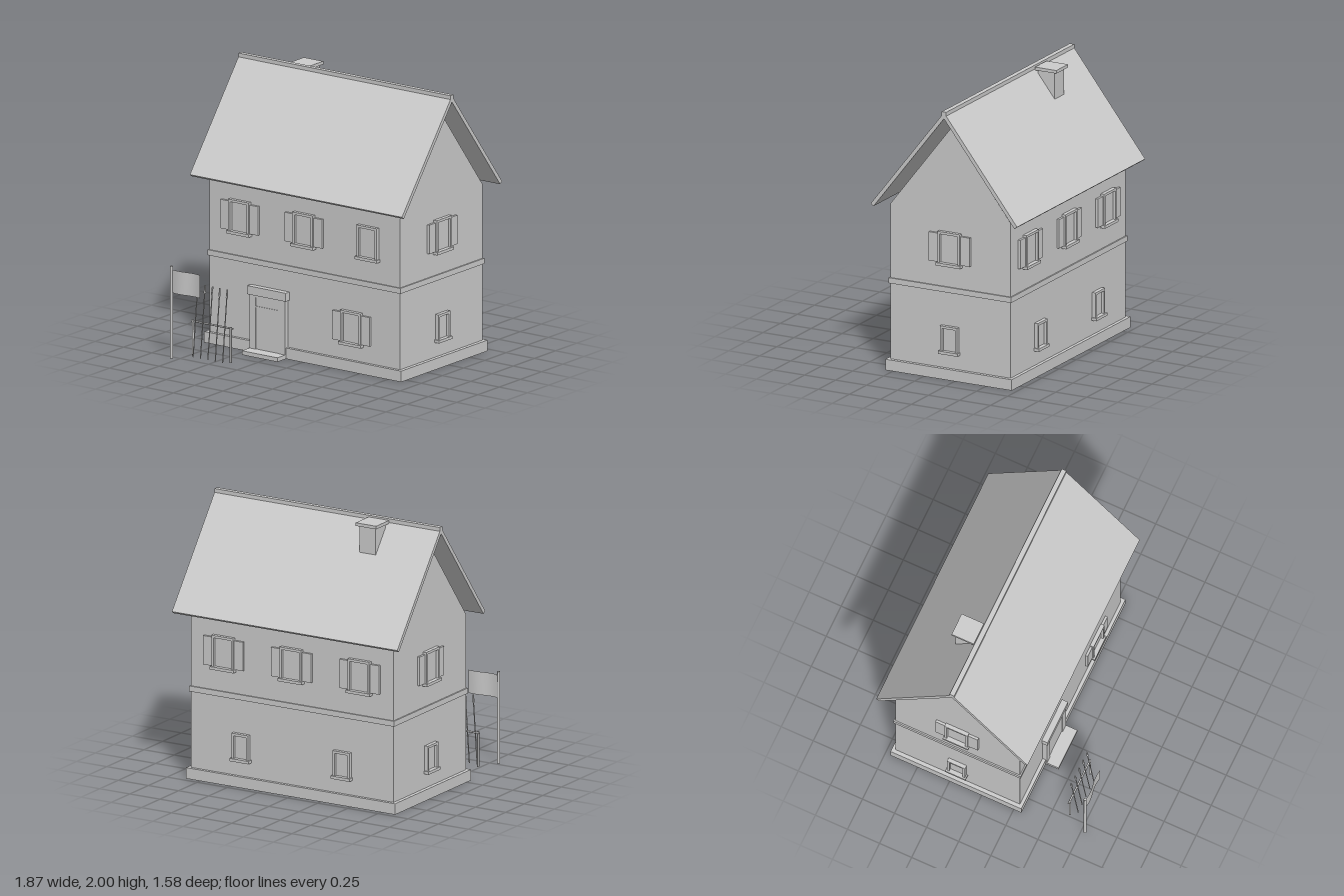
import * as THREE from 'three';

const grey = new THREE.MeshStandardMaterial({ color: 0xcccccc });
grey.name = 'plain grey';
const greyThin = grey.clone();
greyThin.side = THREE.DoubleSide;

const C = -0.2;      // house centre in z
const HX = 0.84;     // wall half length
const HZ = 0.485;    // wall half depth

function add(parent, name, geo, x = 0, y = 0, z = 0, mat = grey) {
  const m = new THREE.Mesh(geo, mat);
  m.name = name;
  m.position.set(x, y, z);
  parent.add(m);
  return m;
}

// box given by its lower and upper limits
function box(parent, name, x0, x1, y0, y1, z0, z1) {
  return add(parent, name, new THREE.BoxGeometry(x1 - x0, y1 - y0, z1 - z0),
    (x0 + x1) / 2, (y0 + y1) / 2, (z0 + z1) / 2);
}

// profile symmetric in z, extruded along x and centred on the house
function alongX(parent, name, pts, x0, x1) {
  const shape = new THREE.Shape(pts.map(p => new THREE.Vector2(p[0], p[1])));
  const g = new THREE.ExtrudeGeometry(shape, { depth: x1 - x0, bevelEnabled: false });
  g.rotateY(Math.PI / 2);
  return add(parent, name, g, x0, 0, C);
}

// window facing +z with its back on z = 0 and its foot on y = 0
function makeWindow(w, h, shutters) {
  const g = new THREE.Group();
  g.name = shutters ? 'shutteredWindow' : 'window';
  const b = 0.018, a = w / 2, d = 0.028;
  box(g, 'windowPane', -a + b, a - b, 0.02, h - b, -0.01, 0.008);
  for (const s of [-1, 1]) {
    const x = s * (a - b / 2);
    box(g, 'windowJamb', x - b / 2, x + b / 2, 0.02, h - b, -0.01, d);
    if (shutters) {
      const sx = s * (a + 0.038);
      box(g, 'shutter', sx - 0.037, sx + 0.037, 0.021, h - 0.017, -0.005, 0.018);
    }
  }
  box(g, 'windowHead', -a, a, h - b, h, -0.01, d);
  box(g, 'windowSill', -a - 0.009, a + 0.009, 0, 0.021, -0.01, 0.04);
  return g;
}

// u runs along the wall in world x or z
function placeWindow(house, side, u, y, large, shutters) {
  const win = large ? makeWindow(0.18, 0.25, shutters) : makeWindow(0.14, 0.205, false);
  if (side === 'front') win.position.set(u, y, C + HZ);
  if (side === 'back') { win.position.set(u, y, C - HZ); win.rotation.y = Math.PI; }
  if (side === 'left') { win.position.set(HX, y, u); win.rotation.y = Math.PI / 2; }
  if (side === 'right') { win.position.set(-HX, y, u); win.rotation.y = -Math.PI / 2; }
  house.add(win);
}

function makeDoor() {
  const g = new THREE.Group();
  g.name = 'door';
  const x = -0.305, z = C + HZ;
  box(g, 'doorLeaf', x - 0.11, x + 0.11, 0.03, 0.425, z - 0.01, 0.313);
  box(g, 'doorRail', x - 0.105, x + 0.105, 0.335, 0.345, 0.31, 0.317);
  for (const s of [-1, 1]) {
    const px = x + s * 0.13;
    box(g, 'doorPost', px - 0.026, px + 0.026, 0.03, 0.425, z - 0.01, 0.32);
  }
  box(g, 'doorHead', x - 0.104, x + 0.104, 0.41, 0.425, z - 0.01, 0.32);
  box(g, 'doorCanopy', x - 0.17, x + 0.17, 0.425, 0.487, z - 0.01, 0.33);
  box(g, 'doorStep', x - 0.157, x + 0.157, 0, 0.03, 0.3, 0.41);
  return g;
}

// leaning spears on a rail between two posts
function makeSpearRack() {
  const g = new THREE.Group();
  g.name = 'spearRack';
  const z = 0.625;
  for (const x of [-0.732, -0.398]) {
    add(g, 'rackPost', new THREE.CylinderGeometry(0.008, 0.008, 0.26, 8), x, 0.13, z);
  }
  const rail = new THREE.CylinderGeometry(0.007, 0.007, 0.365, 8).rotateZ(Math.PI / 2);
  add(g, 'rackRail', rail, -0.565, 0.25, z - 0.004);
  for (let i = 0; i < 5; i++) {
    const spear = new THREE.Group();
    spear.name = 'spear';
    add(spear, 'spearShaft', new THREE.CylinderGeometry(0.004, 0.004, 0.48, 6), 0, 0.24, 0);
    add(spear, 'spearHead', new THREE.CylinderGeometry(0.005, 0.008, 0.058, 6), 0, 0.5, 0);
    spear.position.set(-0.695 + i * 0.065, 0.002, 0.672);
    spear.rotation.x = -0.105;
    g.add(spear);
  }
  return g;
}

function makeFlag() {
  const g = new THREE.Group();
  g.name = 'flag';
  add(g, 'flagPole', new THREE.CylinderGeometry(0.01, 0.011, 0.675, 10), -0.807, 0.3375, 0.778);
  // gentle ripple across the cloth
  const cloth = new THREE.PlaneGeometry(0.245, 0.17, 12, 1);
  const p = cloth.attributes.position;
  for (let i = 0; i < p.count; i++) {
    p.setZ(i, 0.007 * Math.sin((p.getX(i) + 0.1225) / 0.245 * Math.PI * 2));
  }
  cloth.computeVertexNormals();
  add(g, 'flagCloth', cloth, -0.678, 0.565, 0.778, greyThin);
  return g;
}

export function createModel() {
  const model = new THREE.Group();
  model.name = 'house';

  // walls, plinth and floor band
  box(model, 'plinth', -0.868, 0.868, 0, 0.08, C - 0.51, C + 0.51);
  box(model, 'groundFloor', -HX, HX, 0.08, 0.64, C - HZ, C + HZ);
  box(model, 'floorBand', -0.85, 0.85, 0.64, 0.68, C - 0.495, C + 0.495);
  box(model, 'upperFloor', -HX, HX, 0.68, 1.225, C - HZ, C + HZ);

  // gable ends
  const gable = [[-HZ, 1.225], [HZ, 1.225], [0, 1.85]];
  alongX(model, 'leftGable', gable, HX - 0.03, HX);
  alongX(model, 'rightGable', gable, -HX, -HX + 0.03);

  // roof slabs, open underneath
  alongX(model, 'roof', [[0.59, 1.237], [0, 1.995], [-0.59, 1.237],
    [-0.568, 1.22], [0, 1.95], [0.568, 1.22]], -0.935, 0.935);
  box(model, 'roofRidge', -0.935, 0.935, 1.97, 2, C - 0.018, C + 0.018);

  // chimney on the back slope
  box(model, 'chimney', -0.5, -0.365, 1.3, 1.97, -0.375, -0.242);
  box(model, 'chimneyCap', -0.518, -0.348, 1.967, 1.99, -0.398, -0.225);

  // windows
  for (const x of [-0.565, 0, 0.565]) {
    placeWindow(model, 'front', x, 0.838, true, x < 0.5);
    placeWindow(model, 'back', x, 0.838, true, true);
  }
  placeWindow(model, 'front', 0.42, 0.19, true, true);
  for (const x of [-0.42, 0.42]) placeWindow(model, 'back', x, 0.188, false);
  for (const side of ['left', 'right']) {
    placeWindow(model, side, C, 0.838, true, true);
    placeWindow(model, side, C, 0.188, false);
  }

  model.add(makeDoor(), makeSpearRack(), makeFlag());
  return model;
}
